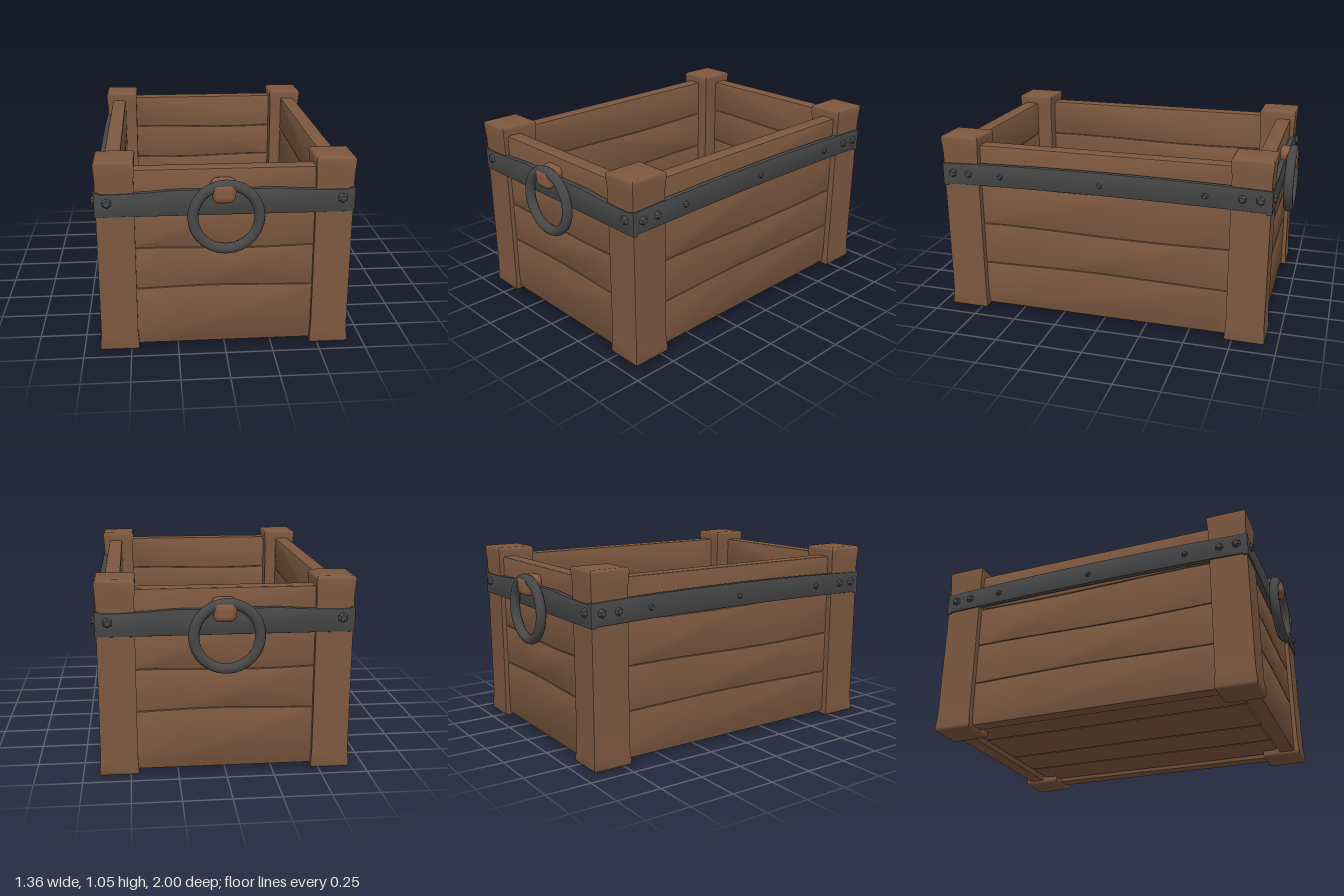
import * as THREE from 'three';
import { toCreasedNormals } from 'three/addons/utils/BufferGeometryUtils.js';
import { RoundedBoxGeometry } from 'three/addons/geometries/RoundedBoxGeometry.js';

const wood = new THREE.MeshStandardMaterial({ color: 0x7d583f });
wood.name = 'wood';
const bracketWood = new THREE.MeshStandardMaterial({ color: 0x875a40 });
bracketWood.name = 'bracketBrown';
const iron = new THREE.MeshStandardMaterial({ color: 0x484848 });
iron.name = 'iron';

function add(parent, name, geometry, material, x = 0, y = 0, z = 0) {
  const mesh = new THREE.Mesh(geometry, material);
  mesh.name = name;
  mesh.position.set(x, y, z);
  parent.add(mesh);
  return mesh;
}

// Slab with hand-cut wavy long edges: spans +-half in x, y0..y1, z0..z1
function slab(half, y0, y1, z0, z1, bevel, lower, upper) {
  const n = 10, b = bevel, h = half - b;
  const shape = new THREE.Shape();
  for (let i = 0; i <= n; i++) {
    const t = (i / n) * 2 - 1;
    shape[i ? 'lineTo' : 'moveTo'](t * h, y0 + b + lower(t));
  }
  for (let i = n; i >= 0; i--) {
    const t = (i / n) * 2 - 1;
    shape.lineTo(t * h, y1 - b + upper(t));
  }
  const geometry = new THREE.ExtrudeGeometry(shape, {
    depth: z1 - z0 - 2 * b, bevelEnabled: true, bevelSize: b, bevelThickness: b, bevelSegments: 2,
  });
  geometry.translate(0, 0, z0 + b);
  return toCreasedNormals(geometry, 0.6);
}

const flat = () => 0;
const wave = (seed, amount) => (t) => amount * Math.sin(t * 3 + seed * 1.9);

// Faceted bolt head pointing to +z
function bolt(parent, x, y, z, r) {
  const geometry = new THREE.CylinderGeometry(r * 0.55, r, 0.02, 6).toNonIndexed();
  geometry.computeVertexNormals();
  geometry.rotateX(Math.PI / 2);
  add(parent, 'bolt', geometry, iron, x, y, z + 0.006);
}

// One wall facing +z: stacked planks, iron strap and bolts
function wall(name, halfPlank, inner, outer, levels, halfStrap, strapFace, strap, bolts) {
  const group = new THREE.Group();
  group.name = name;
  for (let i = 0; i < levels.length - 1; i++) {
    const last = i === levels.length - 2;
    add(group, 'wallPlank', slab(halfPlank, levels[i], levels[i + 1], inner, outer, 0.009,
      i ? wave(i, 0.006) : flat, last ? flat : wave(i + 1, 0.006)), wood);
  }
  add(group, 'strap', slab(halfStrap, strap[0], strap[1], strapFace - 0.03, strapFace, 0.004,
    strap[2], strap[3]), iron);
  for (const [x, r] of bolts) for (const s of x ? [-1, 1] : [1]) bolt(group, s * x, 0.83, strapFace, r);
  return group;
}

// Ring handle hanging from a rounded bracket
function handle() {
  const group = new THREE.Group();
  group.name = 'handle';
  add(group, 'ring', new THREE.TorusGeometry(0.17, 0.028, 10, 28), iron, 0, 0.755, 0.965);
  const geometry = new RoundedBoxGeometry(0.13, 0.11, 0.12, 3, 0.035);
  const p = geometry.attributes.position;
  for (let i = 0; i < p.count; i++) {
    // bottom narrows and the front droops
    if (p.getY(i) < 0) p.setX(i, p.getX(i) * 0.9);
    if (p.getZ(i) > 0) p.setY(i, p.getY(i) - 0.008);
  }
  geometry.computeVertexNormals();
  add(group, 'ringBracket', geometry, bracketWood, -0.012, 0.893, 0.938);
  return group;
}

// Square post, a little wider at the head and foot
function post() {
  const section = new THREE.Shape();
  const w = 0.085, d = 0.093;
  section.moveTo(-w, -d);
  section.lineTo(w, -d);
  section.lineTo(w, d);
  section.lineTo(-w, d);
  section.closePath();
  const geometry = new THREE.ExtrudeGeometry(section, {
    depth: 1.01, steps: 12, bevelEnabled: true, bevelSize: 0.015, bevelThickness: 0.018, bevelSegments: 3,
  });
  geometry.rotateX(-Math.PI / 2);
  geometry.translate(0, 0.018, 0);
  const p = geometry.attributes.position;
  for (let i = 0; i < p.count; i++) {
    const y = p.getY(i);
    const k = y > 0.99 || y < 0.03 ? 1.03 : 0.97;
    p.setX(i, p.getX(i) * k);
    p.setZ(i, p.getZ(i) * k);
  }
  geometry.computeVertexNormals();
  return toCreasedNormals(geometry, 0.7);
}

export function createModel() {
  const crate = new THREE.Group();
  crate.name = 'crate';

  // Corner posts
  const postGeometry = post();
  for (const x of [-0.56, 0.56]) for (const z of [-0.82, 0.82]) {
    add(crate, 'cornerPost', postGeometry, wood, x, 0, z);
  }

  // End walls with handles
  for (const turn of [0, Math.PI]) {
    const end = wall(turn ? 'backWall' : 'frontWall', 0.52, 0.81, 0.9, [0.02, 0.345, 0.565, 0.78, 0.993],
      0.665, 0.932, [0.755, 0.873, flat, (t) => 0.018 * (1 - t * t) - 0.004 * Math.cos(t * 9)], [[0.6, 0.03]]);
    end.add(handle());
    end.rotation.y = turn;
    crate.add(end);
  }

  // Long side walls
  for (const s of [-1, 1]) {
    const side = wall(s > 0 ? 'leftWall' : 'rightWall', 0.76, 0.535, 0.622, [0.02, 0.285, 0.52, 0.765, 0.993],
      0.932, 0.665, [0.762, 0.885, (t) => 0.012 * (1 - t * t), (t) => 0.018 * (1 - t * t)],
      [[0.87, 0.028], [0.775, 0.026], [0.58, 0.02], [0, 0.018]]);
    side.rotation.y = s * Math.PI / 2;
    crate.add(side);
  }

  // Floor planks with narrow gaps
  const cuts = [-0.535, -0.32, 0.015, 0.28, 0.535];
  for (let i = 0; i < 4; i++) {
    const geometry = slab(0.795, cuts[i] + 0.004, cuts[i + 1] - 0.004, 0, 0.06, 0.009,
      wave(i, 0.003), wave(i + 1, 0.003));
    geometry.rotateZ(-Math.PI / 2);
    geometry.rotateX(-Math.PI / 2);
    add(crate, 'floorPlank', geometry, wood, 0, 0.04, 0);
  }
  return crate;
}
